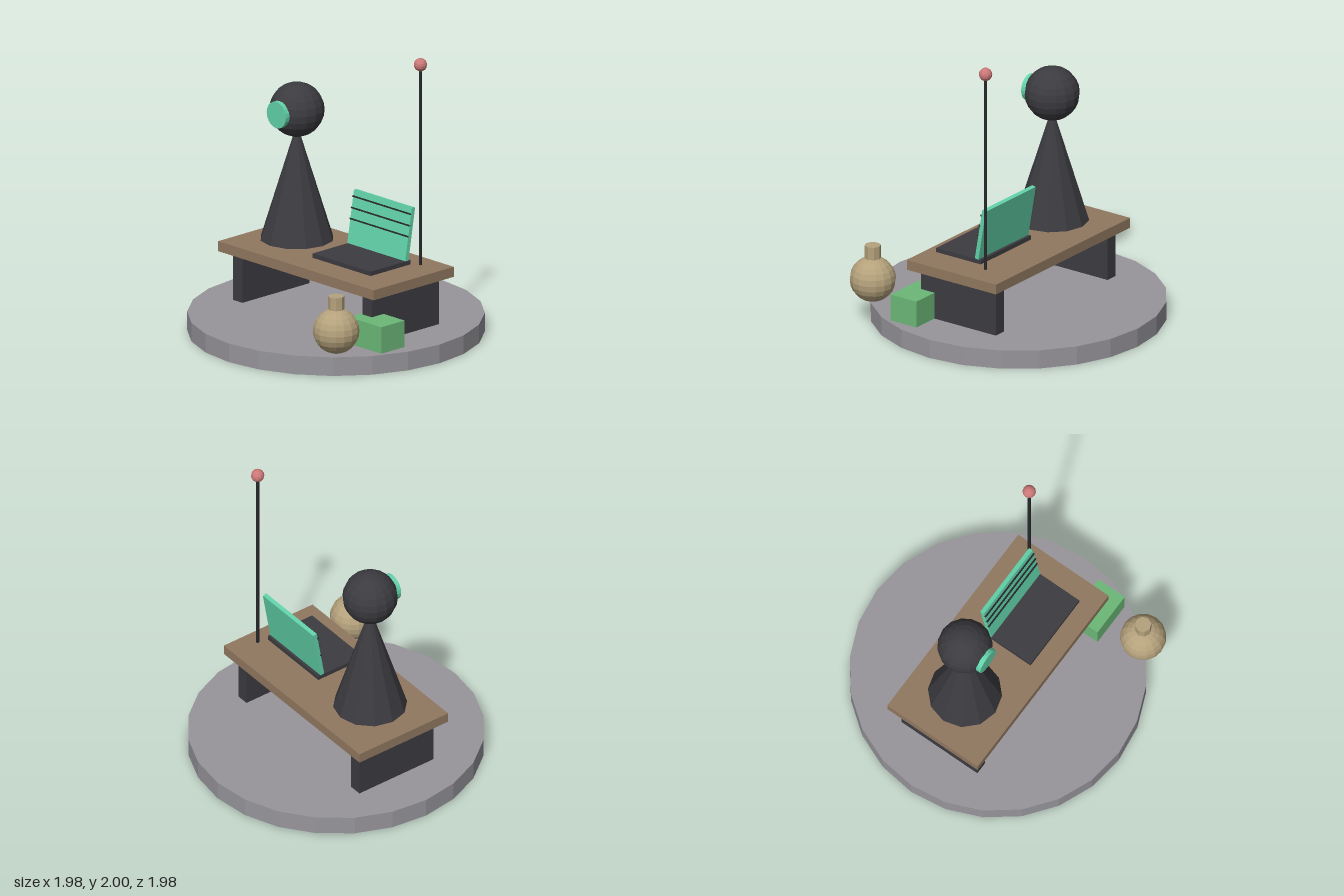
import * as THREE from 'three';

const material = (name, color) => {
  const m = new THREE.MeshStandardMaterial({ color, flatShading: true });
  m.name = name;
  return m;
};

export function createModel() {
  const model = new THREE.Group();
  model.name = 'deskDiorama';

  const stone = material('grey stone', 0x97959b);
  const wood = material('brown wood', 0x917860);
  const dark = material('charcoal', 0x3c3b40);
  const black = material('near black', 0x26282b);
  const teal = material('teal', 0x62d2aa);
  const green = material('green', 0x6cb878);
  const tan = material('tan', 0xb5a27c);
  const pink = material('pink', 0xcc7878);

  const add = (name, geometry, mat, x, y, z, parent = model) => {
    const mesh = new THREE.Mesh(geometry, mat);
    mesh.name = name;
    mesh.position.set(x, y, z);
    parent.add(mesh);
    return mesh;
  };
  const box = (w, h, d) => new THREE.BoxGeometry(w, h, d);

  // Round base
  add('base', new THREE.CylinderGeometry(0.99, 0.99, 0.13, 24), stone, 0, 0.065, 0);

  // Desk with two slab legs
  add('deskTop', box(1.49, 0.07, 0.74), wood, 0, 0.5, 0);
  for (const side of [-1, 1]) {
    add(side > 0 ? 'leftLeg' : 'rightLeg', box(0.09, 0.335, 0.62), dark, side * 0.62, 0.2975, 0);
  }

  // Cone-bodied figure with a single round eye
  const figure = new THREE.Group();
  figure.name = 'figure';
  figure.position.set(-0.375, 0, 0);
  model.add(figure);
  add('body', new THREE.ConeGeometry(0.248, 0.8, 12), dark, 0, 0.96, 0, figure);
  add('head', new THREE.SphereGeometry(0.185, 16, 12), dark, 0, 1.46, 0, figure);
  const eye = add('eye', new THREE.CylinderGeometry(0.092, 0.092, 0.04, 20), teal, 0, 1.46, 0.17, figure);
  eye.rotation.x = Math.PI / 2;

  // Laptop: keyboard slab and a screen leaning back, with dark text lines
  add('keyboard', box(0.555, 0.03, 0.37), dark, 0.3075, 0.585, 0.06);
  const screen = new THREE.Group();
  screen.name = 'screen';
  screen.position.set(0.3075, 0.78, -0.121);
  screen.rotation.x = -0.17;
  model.add(screen);
  add('screenPanel', box(0.555, 0.366, 0.03), teal, 0, 0, 0, screen);
  for (const y of [0.138, 0.06, -0.015]) {
    add('screenLine', box(0.555, 0.009, 0.016), black, 0, y, 0.016, screen);
  }

  // Antenna with a ball tip
  add('antennaRod', new THREE.CylinderGeometry(0.011, 0.011, 1.37, 8), black, 0.615, 1.245, -0.187);
  add('antennaBall', new THREE.SphereGeometry(0.045, 12, 8), pink, 0.615, 1.957, -0.187);

  // Crate on the base
  add('crate', box(0.31, 0.185, 0.215), green, 0.71, 0.2225, 0.308);

  // Round flask with a short neck
  add('flaskBody', new THREE.SphereGeometry(0.155, 16, 12), tan, 0.708, 0.315, 0.68);
  add('flaskNeck', new THREE.CylinderGeometry(0.055, 0.055, 0.09, 8), tan, 0.708, 0.511, 0.68);

  return model;
}
